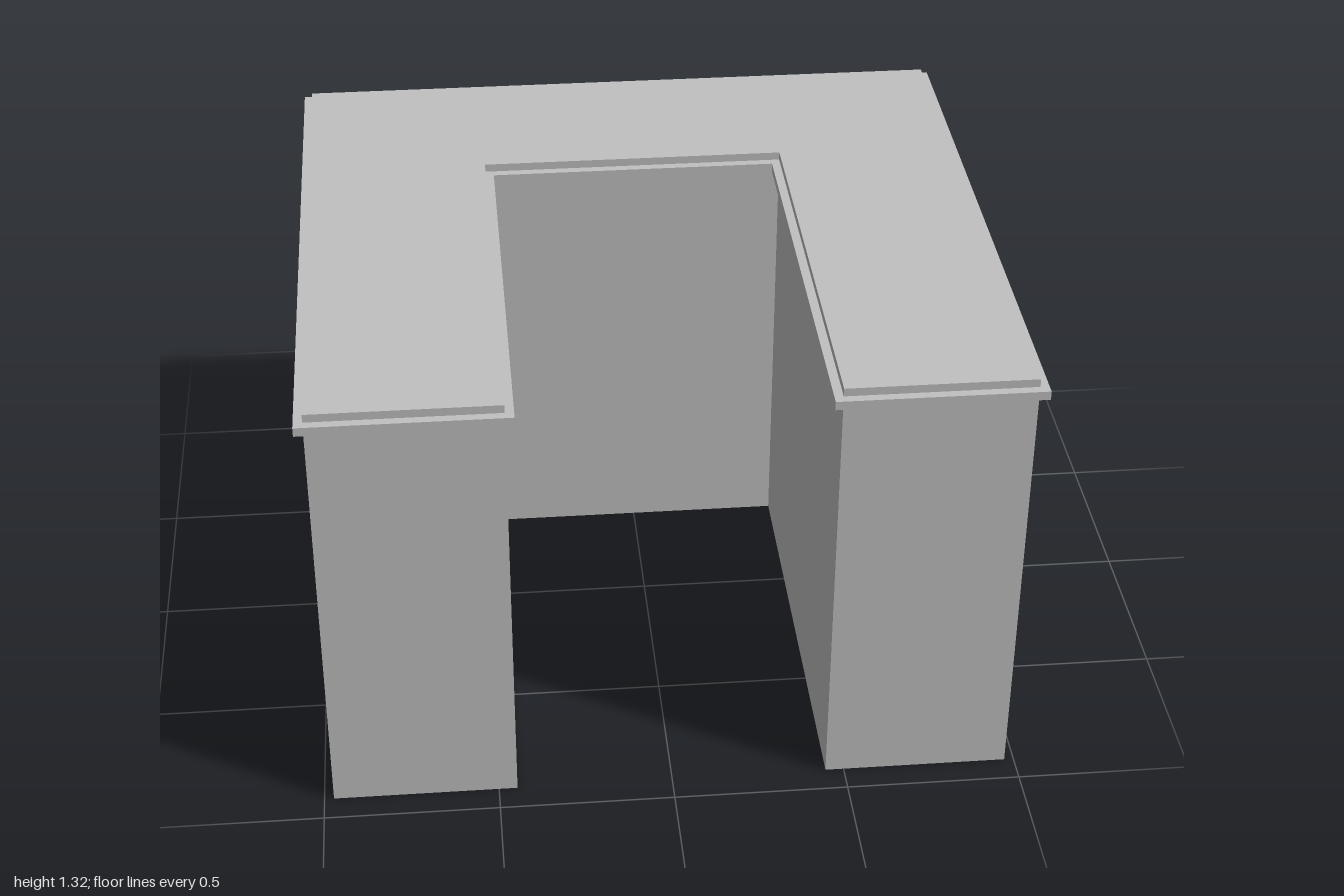
import * as THREE from 'three';

const WALL_TOP = 1.27, LIP_TOP = 1.296, TOP = 1.32, LIP = 0.025;

// U-shaped plan as [x, z] corners, grown outwards by d
function plan(d) {
  const xo = 0.973 + d, xi = 0.447 - d, back = -0.92 - d, front = 0.92 + d, inner = -0.4 + d;
  return [[-xo, front], [-xi, front], [-xi, inner], [xi, inner],
    [xi, front], [xo, front], [xo, back], [-xo, back]];
}

// Flat slab with the U-shaped plan, between two heights
function slab(name, d, y0, y1, material) {
  const shape = new THREE.Shape(plan(d).map(([x, z]) => new THREE.Vector2(x, -z)));
  const geometry = new THREE.ExtrudeGeometry(shape, { depth: y1 - y0, bevelEnabled: false });
  geometry.rotateX(-Math.PI / 2).translate(0, y0, 0);
  const mesh = new THREE.Mesh(geometry, material);
  mesh.name = name;
  return mesh;
}

export function createModel() {
  const grey = new THREE.MeshStandardMaterial({ color: 0xc0c0c0, side: THREE.DoubleSide });
  grey.name = 'grey';
  const model = new THREE.Group();
  model.name = 'counter';

  // Thin walls, hollow and open underneath
  const walls = new THREE.Group();
  walls.name = 'walls';
  const corners = plan(0);
  corners.forEach(([x0, z0], i) => {
    const [x1, z1] = corners[(i + 1) % corners.length];
    const wall = new THREE.Mesh(
      new THREE.PlaneGeometry(Math.hypot(x1 - x0, z1 - z0), WALL_TOP), grey);
    wall.position.set((x0 + x1) / 2, WALL_TOP / 2, (z0 + z1) / 2);
    wall.rotation.y = Math.atan2(z0 - z1, x1 - x0);
    wall.name = 'wall';
    walls.add(wall);
  });
  model.add(walls);

  // Overhanging lip and the raised top above it
  model.add(slab('lip', LIP, WALL_TOP, LIP_TOP, grey));
  model.add(slab('top', 0, LIP_TOP, TOP, grey));
  return model;
}
